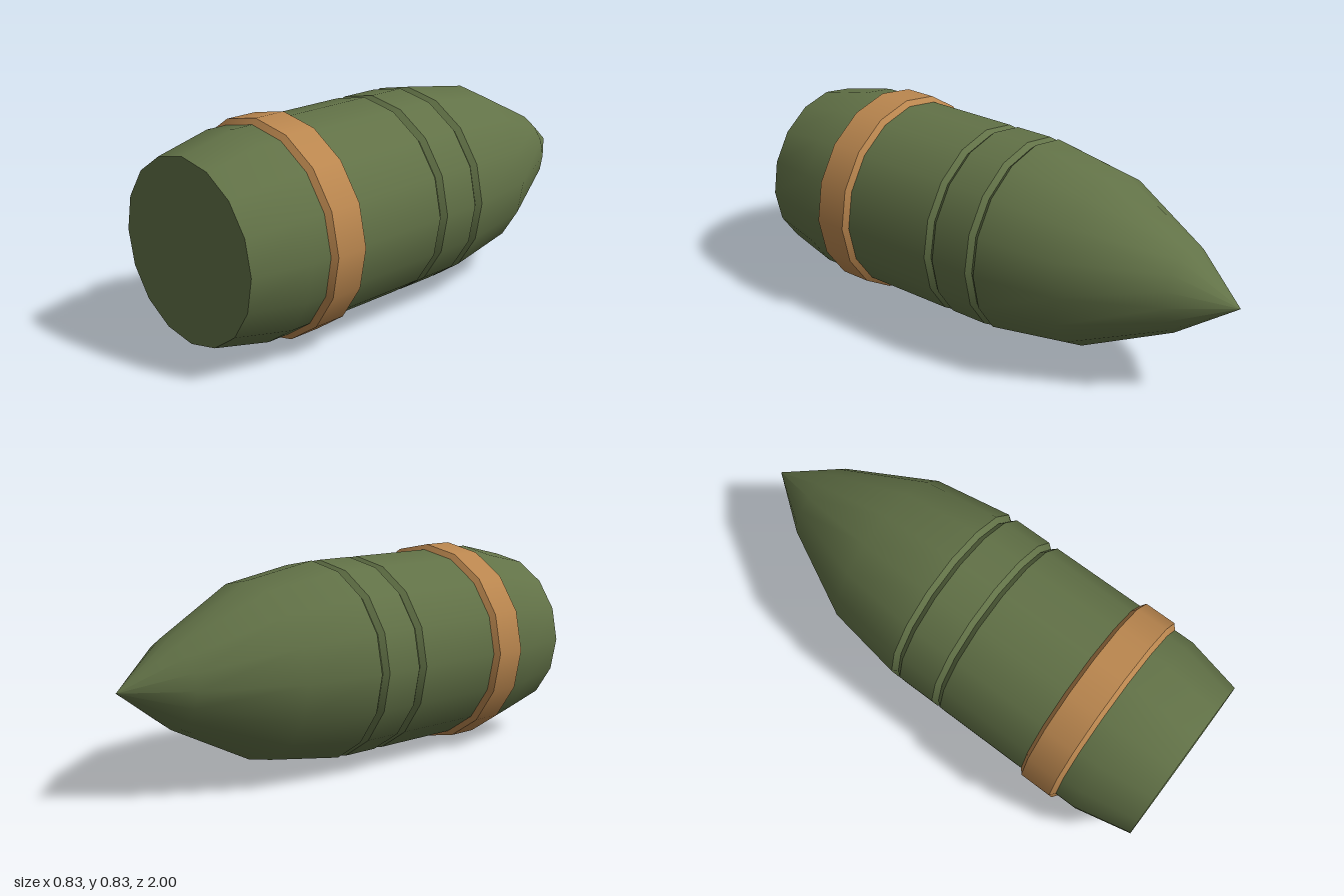
import * as THREE from 'three';

const SIDES = 16;
const RADIUS = 0.392;
const CENTRE_Y = 0.413;

export function createModel() {
  const group = new THREE.Group();
  group.name = 'shell';
  const olive = new THREE.MeshStandardMaterial({ name: 'olive green paint', color: 0x627247 });
  const copper = new THREE.MeshStandardMaterial({ name: 'copper', color: 0xbb874f });

  // Turned section along z from [radius, z] points; smooth inside, sharp at its ends
  function turned(name, material, profile) {
    const geometry = new THREE.LatheGeometry(profile.map(([r, z]) => new THREE.Vector2(r, z)), SIDES);
    geometry.rotateX(Math.PI / 2);
    add(name, geometry, material);
  }

  function add(name, geometry, material) {
    const mesh = new THREE.Mesh(geometry, material);
    mesh.name = name;
    mesh.position.y = CENTRE_Y;
    group.add(mesh);
  }

  // Pointed nose, at the back
  turned('nose', olive, [[0, -1], [0.166, -0.775], [0.342, -0.418], [RADIUS, -0.1]]);

  // Two V-shaped grooves
  for (const [name, z] of [['noseGroove', -0.08], ['bodyGroove', 0.118]]) {
    turned(name + 'Back', olive, [[RADIUS, z - 0.02], [0.375, z]]);
    turned(name + 'Front', olive, [[0.375, z], [RADIUS, z + 0.02]]);
  }

  // Straight ring between the grooves, then the main body with its tapered base
  turned('collar', olive, [[RADIUS, -0.06], [RADIUS, 0.098]]);
  turned('body', olive, [[RADIUS, 0.138], [RADIUS, 0.54]]);
  turned('base', olive, [[RADIUS, 0.54], [RADIUS, 0.775], [0.342, 1]]);

  // Flat base plate
  const plate = new THREE.CircleGeometry(0.342, SIDES);
  plate.translate(0, 0, 1);
  add('basePlate', plate, olive);

  // Raised band with chamfered edges
  turned('bandBackChamfer', copper, [[RADIUS, 0.53], [0.413, 0.546]]);
  turned('band', copper, [[0.413, 0.546], [0.413, 0.676]]);
  turned('bandFrontChamfer', copper, [[0.413, 0.676], [RADIUS, 0.692]]);

  return group;
}
